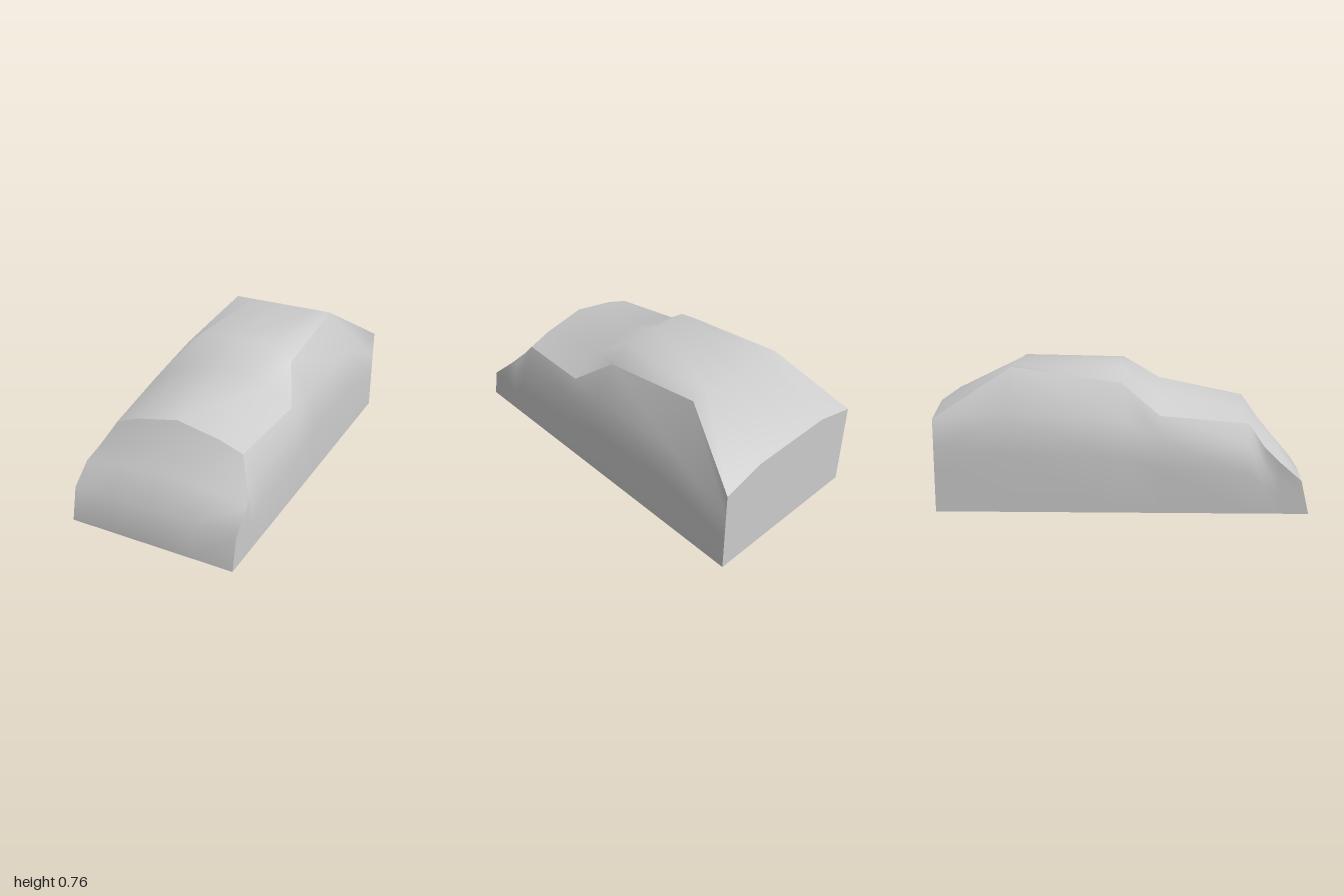
import * as THREE from 'three';

const W = 0.478; // half width

// Smooth surface through rows of points; rows run to the front, columns to +x
function surface(name, rows) {
  const n = rows[0].length, index = [];
  for (let i = 0; i < rows.length - 1; i++) {
    for (let j = 0; j < n - 1; j++) {
      const a = i * n + j, b = a + n;
      index.push(a, b, a + 1, a + 1, b, b + 1);
    }
  }
  const geo = new THREE.BufferGeometry();
  geo.setAttribute('position', new THREE.Float32BufferAttribute(rows.flat(2), 3));
  geo.setIndex(index);
  geo.computeVertexNormals();
  const mesh = new THREE.Mesh(geo, new THREE.MeshStandardMaterial({ color: 0xcccccc }));
  mesh.name = name;
  return mesh;
}

const flip = (row) => row.map(([x, y, z]) => [-x, y, z]).reverse();

// Half a top row (centre, middle, shoulder) mirrored into a full one
const fullRow = (half) => [...flip(half.slice(1)), ...half];

export function createModel() {
  const group = new THREE.Group();
  group.name = 'carBody';

  // Boot, roof, windscreen and bonnet, back to front
  const top = [
    [[0, 0.57, -1], [0.24, 0.57, -1], [W, 0.507, -1]],
    [[0, 0.765, -0.6], [0.21, 0.765, -0.6], [0.312, 0.765, -0.6]],
    [[0, 0.765, 0], [0.21, 0.765, 0], [0.325, 0.68, 0]],
    [[0, 0.67, 0.205], [0.24, 0.605, 0.205], [0.425, 0.52, 0.205]],
    [[0, 0.57, 0.684], [0.24, 0.52, 0.684], [0.375, 0.47, 0.684]],
  ];

  // Nose, from the bonnet edge down to the ground
  const nose = [
    top[4],
    [[0, 0.44, 0.775], [0.25, 0.405, 0.772], [0.438, 0.353, 0.765]],
    [[0, 0.343, 0.856], [0.25, 0.325, 0.85], [W, 0.283, 0.84]],
    [[0, 0.198, 0.979], [0.25, 0.195, 0.973], [W, 0.182, 0.957]],
    [[0, 0, 1], [0.24, 0, 1], [W, 0, 1]],
  ];
  group.add(surface('upperBody', top.map(fullRow)), surface('nose', nose.map(fullRow)));

  // Sides: shoulder line, bulge point [x, y], lower point and sill
  const bulges = [
    [W, 0.36], [0.452, 0.53], [0.44, 0.5], [0.47, 0.41], [0.44, 0.35],
    [0.468, 0.25], [W, 0.19], [W, 0.12], [W, 0],
  ];
  const shoulders = [...top, ...nose.slice(1)].map((row) => row[2]);
  const side = shoulders.map(([x, y, z], i) => {
    const [bx, by] = bulges[i];
    return [[x, y, z], [bx, by, z], [W, by * 0.6, z], [W, 0, z]];
  });
  group.add(surface('leftSide', side), surface('rightSide', side.map(flip)));

  // Flat back and underside
  const backTop = fullRow(top[0]);
  group.add(
    surface('back', [backTop.map(([x, , z]) => [x, 0, z]), backTop]),
    surface('underside', [1, -1].map((z) => [[-W, 0, z], [W, 0, z]])),
  );
  return group;
}
